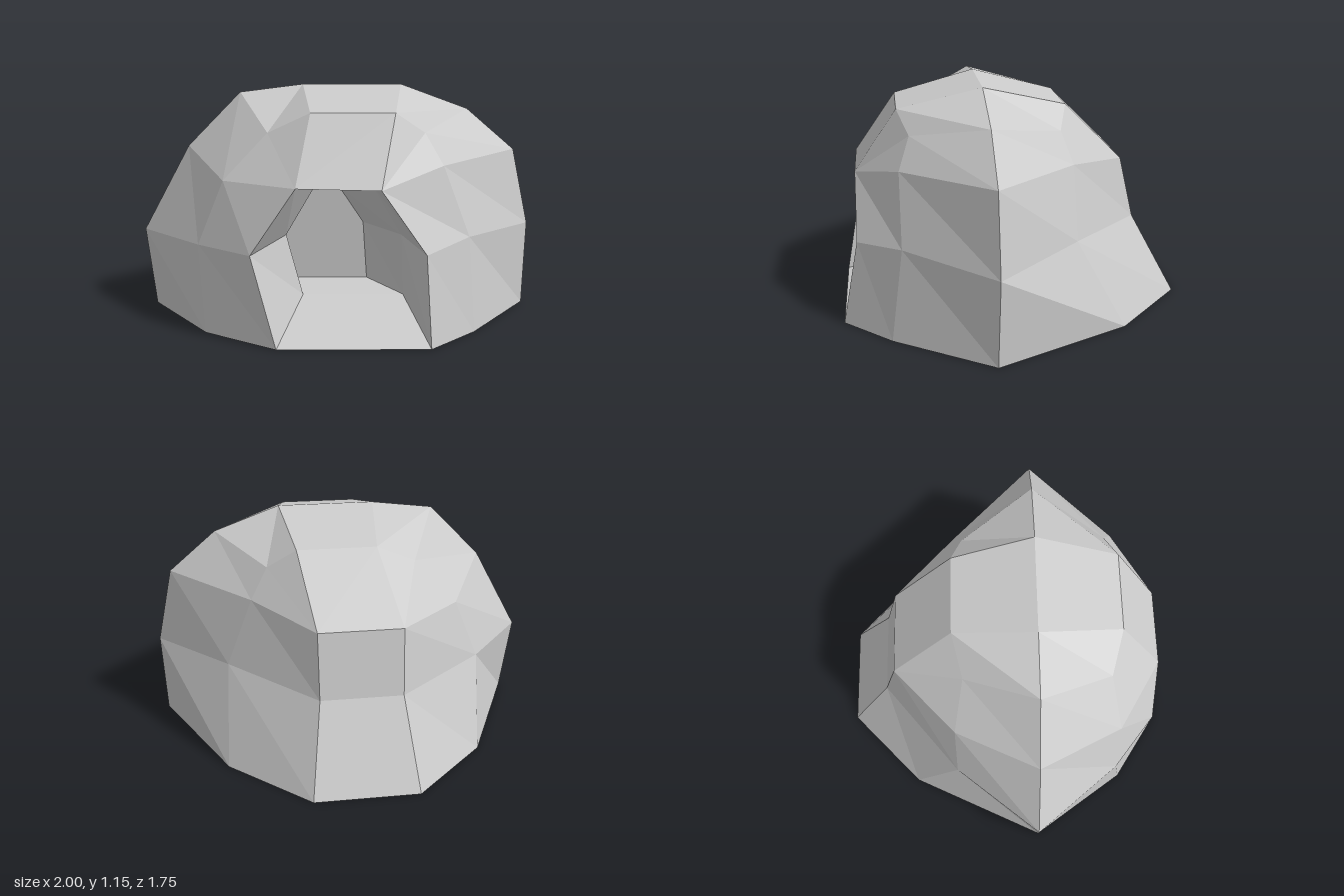
import * as THREE from 'three';

const material = new THREE.MeshStandardMaterial({ color: 0xcccccc, flatShading: true });

// Six-corner arches are widened to ten so every arch has matching corners.
const widen = (a) => [0, 1, 2, 2, 2, 3, 3, 3, 4, 5].map((i) => a[i]);

// Arches run from the -x base, over the top, to the +x base.
const opening = widen([
  [-0.28, 0, 0.87], [-0.4, 0.42, 0.79], [-0.19, 0.73, 0.79],
  [0.2, 0.72, 0.79], [0.41, 0.42, 0.79], [0.43, 0, 0.87],
]);
const rear = widen([
  [-0.25, 0, -0.875], [-0.2, 0.42, -0.65], [-0.21, 0.74, -0.575],
  [0.21, 0.74, -0.575], [0.21, 0.42, -0.65], [0.27, 0, -0.875],
]);
const middle = [
  [-0.95, 0], [-1, 0.4], [-0.76, 0.84], [-0.49, 1.115], [-0.17, 1.155],
  [0.33, 1.155], [0.67, 1.03], [0.915, 0.82], [1, 0.43], [0.985, 0],
].map(([x, y]) => [x, y, y ? 0.155 : 0.165]);

// The shoulder arches share an outline and differ only in depth.
const shoulder = (base, side, corner) => [
  [-0.63, 0, base], [-0.665, 0.42, side], [-0.54, 0.73, side], [-0.33, 0.95, corner],
  [-0.125, 1.05, side], [0.275, 1.05, side], [0.42, 0.95, corner], [0.505, 0.8, side],
  [0.635, 0.455, side], [0.66, 0, base],
];
const front = shoulder(0.635, 0.575, 0.52);
const back = shoulder(-0.51, -0.265, -0.215);

// Tunnel arches: narrowing inward, then bending towards -x.
const throat = widen([
  [-0.17, 0.11, 0.38], [-0.25, 0.43, 0.42], [-0.11, 0.67, 0.42],
  [0.18, 0.67, 0.42], [0.32, 0.43, 0.42], [0.335, 0.11, 0.38],
]);
const tunnelEnd = widen([
  [-0.34, 0.14, 0.18], [-0.42, 0.44, 0.18], [-0.28, 0.635, 0.18],
  [0.01, 0.635, 0.18], [0.14, 0.44, 0.18], [0.16, 0.14, 0.18],
]);

// Collects faces, skipping triangles with repeated corners.
function makeMesh(name, build) {
  const positions = [];
  const fan = (...p) => {
    for (let i = 1; i < p.length - 1; i++) {
      if (p[0] === p[i] || p[i] === p[i + 1] || p[0] === p[i + 1]) continue;
      positions.push(...p[0], ...p[i], ...p[i + 1]);
    }
  };
  const skin = (arches) => {
    for (let k = 0; k < arches.length - 1; k++) {
      const a = arches[k], b = arches[k + 1];
      for (let i = 0; i < a.length - 1; i++) fan(a[i], a[i + 1], b[i + 1], b[i]);
    }
  };
  build(fan, skin);
  const geometry = new THREE.BufferGeometry();
  geometry.setAttribute('position', new THREE.Float32BufferAttribute(positions, 3));
  geometry.computeVertexNormals();
  const mesh = new THREE.Mesh(geometry, material);
  mesh.name = name;
  return mesh;
}

export function createModel() {
  const group = new THREE.Group();
  group.name = 'rockCave';
  const shell = [opening, front, middle, back, rear];

  // Faceted outer rock
  group.add(makeMesh('rockShell', (fan, skin) => {
    skin(shell);
    fan(rear[9], rear[0], rear[1], rear[8]);
    fan(rear[8], rear[1], rear[2], rear[7]);
  }));

  // Recessed tunnel with walls, sloping floor and end wall
  group.add(makeMesh('caveTunnel', (fan, skin) => {
    const rings = [tunnelEnd, throat, opening];
    skin(rings.map((r) => [...r, r[0]]));
    fan(...[...tunnelEnd].reverse());
  }));

  // Flat underside
  group.add(makeMesh('underside', (fan) => {
    fan(...shell.map((a) => a[0]), ...shell.map((a) => a[9]).reverse());
  }));

  return group;
}
